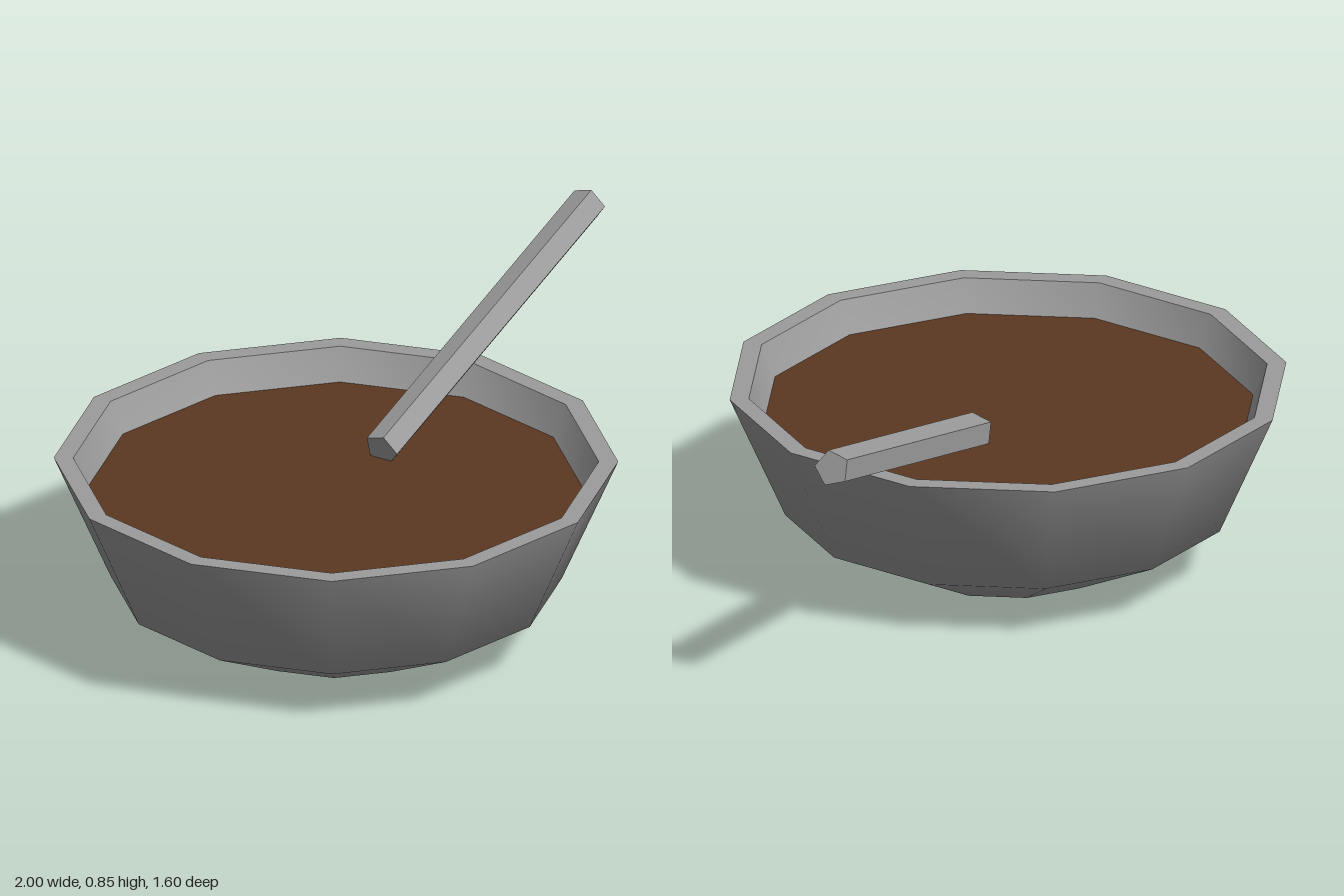
import * as THREE from 'three';

const SIDES = 12;

export function createModel() {
  const grey = new THREE.MeshStandardMaterial({ color: 0x9c9c9c });
  grey.name = 'grey';
  const brown = new THREE.MeshStandardMaterial({ color: 0x5c3822, side: THREE.DoubleSide });
  brown.name = 'soup brown';

  const model = new THREE.Group();
  const bowl = new THREE.Group();
  bowl.name = 'bowl';
  bowl.position.x = -0.2;
  model.add(bowl);

  const add = (parent, name, geometry, material) => {
    const mesh = new THREE.Mesh(geometry, material);
    mesh.name = name;
    parent.add(mesh);
    return mesh;
  };

  // Bowl shell: each profile is turned separately so its edges stay sharp.
  // The base is an open ring.
  const shell = {
    outerWall: [[0.32, 0], [0.64, 0.165], [0.8, 0.533]],
    rim: [[0.8, 0.533], [0.745, 0.533]],
    innerWall: [[0.745, 0.533], [0.596, 0.19], [0.298, 0.048]],
    baseRing: [[0.298, 0.048], [0.32, 0]],
  };
  for (const [name, profile] of Object.entries(shell)) {
    const points = profile.map(([r, y]) => new THREE.Vector2(r, y));
    add(bowl, name, new THREE.LatheGeometry(points, SIDES), grey);
  }

  // Soup surface, with corners in line with the bowl's
  const soup = add(bowl, 'soup', new THREE.CircleGeometry(0.705, SIDES), brown);
  soup.rotation.x = -Math.PI / 2;
  soup.position.y = 0.44;

  // Five-sided handle resting in the soup and leaning over the rim
  const start = new THREE.Vector3(0.005, 0.472, -0.105);
  const end = new THREE.Vector3(0.975, 0.802, -0.638);
  const along = end.clone().sub(start);
  const length = along.length();
  along.normalize();
  const side = new THREE.Vector3(-along.z, 0, along.x).normalize();
  const across = along.clone().cross(side);
  const rod = new THREE.CylinderGeometry(0.053, 0.053, length, 5).toNonIndexed();
  rod.computeVertexNormals();
  const handle = add(model, 'spoonHandle', rod, grey);
  handle.quaternion.setFromRotationMatrix(new THREE.Matrix4().makeBasis(across, along, side));
  handle.position.copy(start).lerp(end, 0.5);

  return model;
}
